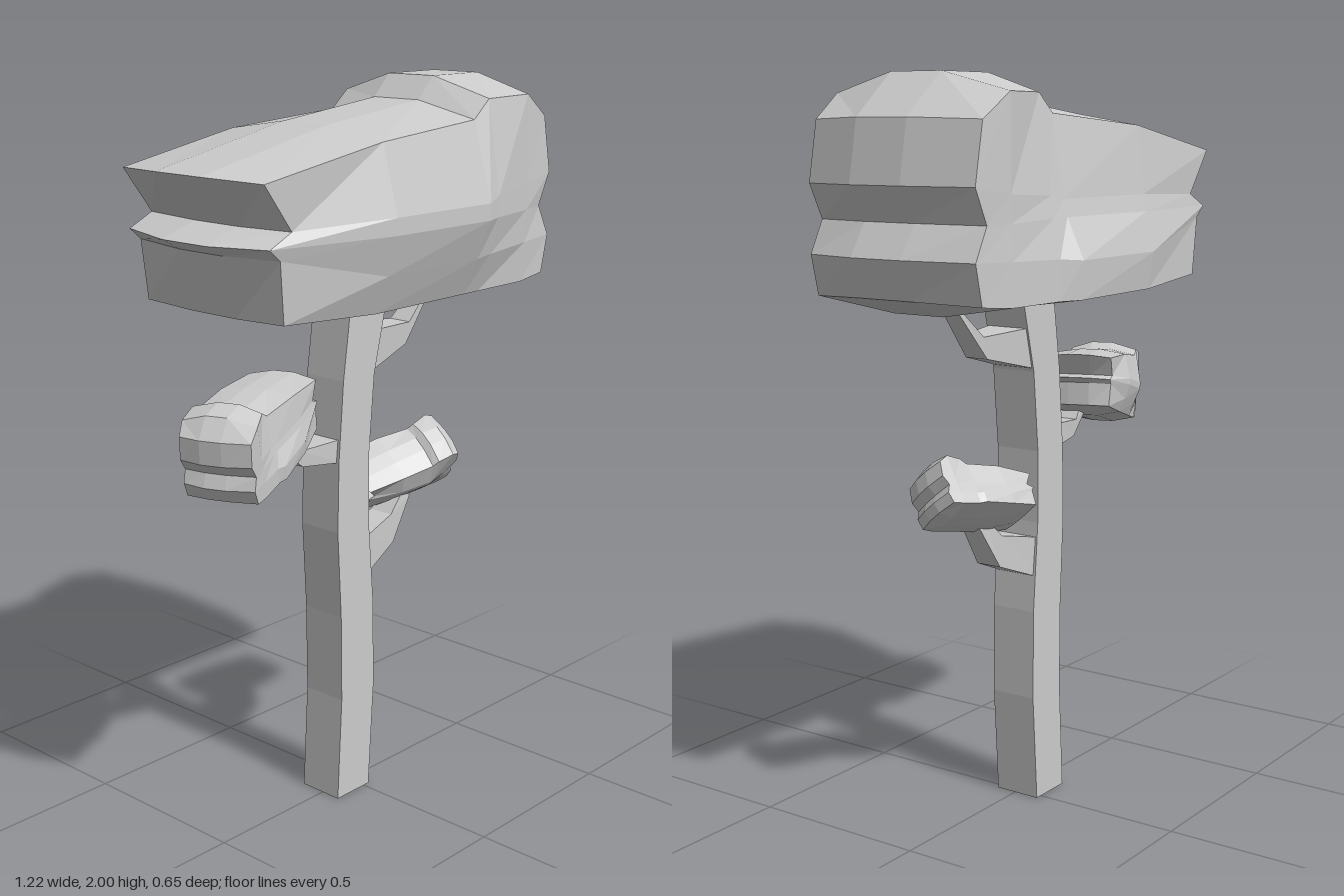
import * as THREE from 'three';

const material = new THREE.MeshStandardMaterial({ color: 0xcccccc, flatShading: true });

// Faceted geometry from a list of four-cornered faces
function quadGeometry(quads) {
  const pos = [];
  for (const [a, b, c, d] of quads) for (const p of [a, b, c, a, c, d]) pos.push(...p);
  const geo = new THREE.BufferGeometry();
  geo.setAttribute('position', new THREE.Float32BufferAttribute(pos, 3));
  geo.computeVertexNormals();
  return geo;
}

function addMesh(parent, name, geo) {
  const mesh = new THREE.Mesh(geo, material);
  mesh.name = name;
  parent.add(mesh);
  return mesh;
}

// Wood: four-sided sections [ax, ay, bx, by, halfDepth], a lies left of the growing direction
function woodGeometry(sections) {
  const zc = -0.008;
  const rings = sections.map(([ax, ay, bx, by, h]) => [
    [ax, ay, zc + h], [bx, by, zc + h], [bx, by, zc - h], [ax, ay, zc - h],
  ]);
  const quads = [];
  for (let i = 0; i < rings.length - 1; i++) {
    for (let j = 0; j < 4; j++) {
      const k = (j + 1) % 4;
      quads.push([rings[i][j], rings[i][k], rings[i + 1][k], rings[i + 1][j]]);
    }
  }
  quads.push([...rings[0]].reverse(), rings[rings.length - 1]);
  return quadGeometry(quads);
}

// Foliage: stations along x, each with five rows from the bottom edge to the top edge.
// y: row heights, f / b: front and back depth, top / bottom: height of the middle strip
const stations = [
  { x: [-0.47, -0.49, -0.525, -0.45, -0.54], bulge: [-0.02, -0.04, -0.06, -0.025, -0.06],
    y: [1.455, 1.615, 1.645, 1.68, 1.8], f: [0.22, 0.23, 0.23, 0.23, 0.23],
    b: [-0.27, -0.27, -0.27, -0.27, -0.27], top: 1.81, bottom: 1.455 },
  { x: -0.16, y: [1.44, 1.54, 1.645, 1.69, 1.87], f: [0.24, 0.28, 0.31, 0.31, 0.26],
    b: [-0.31, -0.325, -0.3, -0.29, -0.27], top: 1.9, bottom: 1.405 },
  { x: 0.19, y: [1.44, 1.54, 1.645, 1.69, 1.9], f: [0.24, 0.285, 0.325, 0.325, 0.265],
    b: [-0.325, -0.33, -0.28, -0.27, -0.235], top: 1.94, bottom: 1.405 },
  { x: 0.25, y: [1.44, 1.545, 1.645, 1.7, 1.95], f: [0.24, 0.28, 0.305, 0.305, 0.265],
    b: [-0.3, -0.3, -0.28, -0.27, -0.235], top: 2, bottom: 1.405 },
  { x: 0.44, y: [1.44, 1.55, 1.64, 1.71, 1.95], f: [0.24, 0.25, 0.255, 0.255, 0.25],
    b: [-0.29, -0.29, -0.285, -0.285, -0.285], top: 2, bottom: 1.405 },
  { x: [0.55, 0.575, 0.53, 0.575, 0.545], bulge: [0.025, 0.03, 0.02, 0.03, 0.03],
    y: [1.45, 1.555, 1.64, 1.73, 1.885], f: [0.23, 0.23, 0.23, 0.23, 0.23],
    b: [-0.28, -0.28, -0.28, -0.28, -0.28], top: 1.89, bottom: 1.455 },
];

function foliageGeometry(center) {
  const point = (s, row, col) => {
    const mid = col === 1 || col === 2;
    const x = Array.isArray(s.x) ? s.x[row] + (mid ? s.bulge[row] : 0) : s.x;
    let y = s.y[row];
    if (mid && row === 4) y = s.top;
    if (mid && row === 0) y = s.bottom;
    const z = [s.f[row], 0.075, -0.08, s.b[row]][col];
    return [x - center[0], y - center[1], z - center[2]];
  };
  // Outline of a station: up the front, over the top, down the back, under the bottom
  const outline = [
    [0, 0], [1, 0], [2, 0], [3, 0], [4, 0], [4, 1], [4, 2],
    [4, 3], [3, 3], [2, 3], [1, 3], [0, 3], [0, 2], [0, 1],
  ];
  const rings = stations.map((s) => outline.map(([r, c]) => point(s, r, c)));
  const quads = [];
  for (let i = 0; i < rings.length - 1; i++) {
    for (let j = 0; j < outline.length; j++) {
      const k = (j + 1) % outline.length;
      quads.push([rings[i][j], rings[i + 1][j], rings[i + 1][k], rings[i][k]]);
    }
  }
  // Notched end faces
  for (const s of [stations[0], stations[stations.length - 1]]) {
    for (let r = 0; r < 4; r++) {
      for (let c = 0; c < 3; c++) {
        const q = [point(s, r, c), point(s, r, c + 1), point(s, r + 1, c + 1), point(s, r + 1, c)];
        quads.push(s === stations[0] ? q.reverse() : q);
      }
    }
  }
  return quadGeometry(quads);
}

export function createModel() {
  const tree = new THREE.Group();
  tree.name = 'tree';

  addMesh(tree, 'trunk', woodGeometry([
    [-0.11, 0, 0.02, 0, 0.067],
    [-0.093, 0.3, 0.04, 0.3, 0.067],
    [-0.095, 0.55, 0.038, 0.55, 0.067],
    [-0.108, 0.8, 0.018, 0.8, 0.067],
    [-0.103, 1.0, 0.018, 1.0, 0.067],
    [-0.085, 1.22, 0.038, 1.22, 0.067],
    [-0.055, 1.43, 0.09, 1.43, 0.067],
  ]));

  // Bent, tapering branches
  addMesh(tree, 'lowerLeftBranch', woodGeometry([
    [0.0, 0.755, 0.0, 0.64, 0.065],
    [0.145, 0.785, 0.155, 0.7, 0.038],
    [0.205, 0.84, 0.235, 0.82, 0.03],
  ]));
  addMesh(tree, 'upperLeftBranch', woodGeometry([
    [0.05, 1.34, 0.02, 1.225, 0.065],
    [0.22, 1.33, 0.205, 1.27, 0.035],
    [0.31, 1.41, 0.325, 1.41, 0.025],
  ]));
  addMesh(tree, 'rightBranch', woodGeometry([
    [-0.09, 0.995, -0.09, 1.06, 0.06],
    [-0.21, 1.005, -0.22, 1.05, 0.035],
    [-0.285, 1.07, -0.26, 1.09, 0.025],
  ]));

  // Large crown and two smaller turned copies
  addMesh(tree, 'crown', foliageGeometry([0, 0, 0]));
  const small = foliageGeometry([0, 1.69, -0.01]);
  const clumps = [
    ['rightFoliage', [-0.372, 1.143, 0.0], [0, Math.PI + 0.36, -0.24], 0.385],
    ['leftFoliage', [0.232, 0.908, -0.02], [0.68, -0.1, 0.22], 0.28],
  ];
  for (const [name, position, rotation, scale] of clumps) {
    const clump = addMesh(tree, name, small);
    clump.position.set(...position);
    clump.rotation.set(...rotation, 'YXZ');
    clump.scale.setScalar(scale);
  }
  return tree;
}
